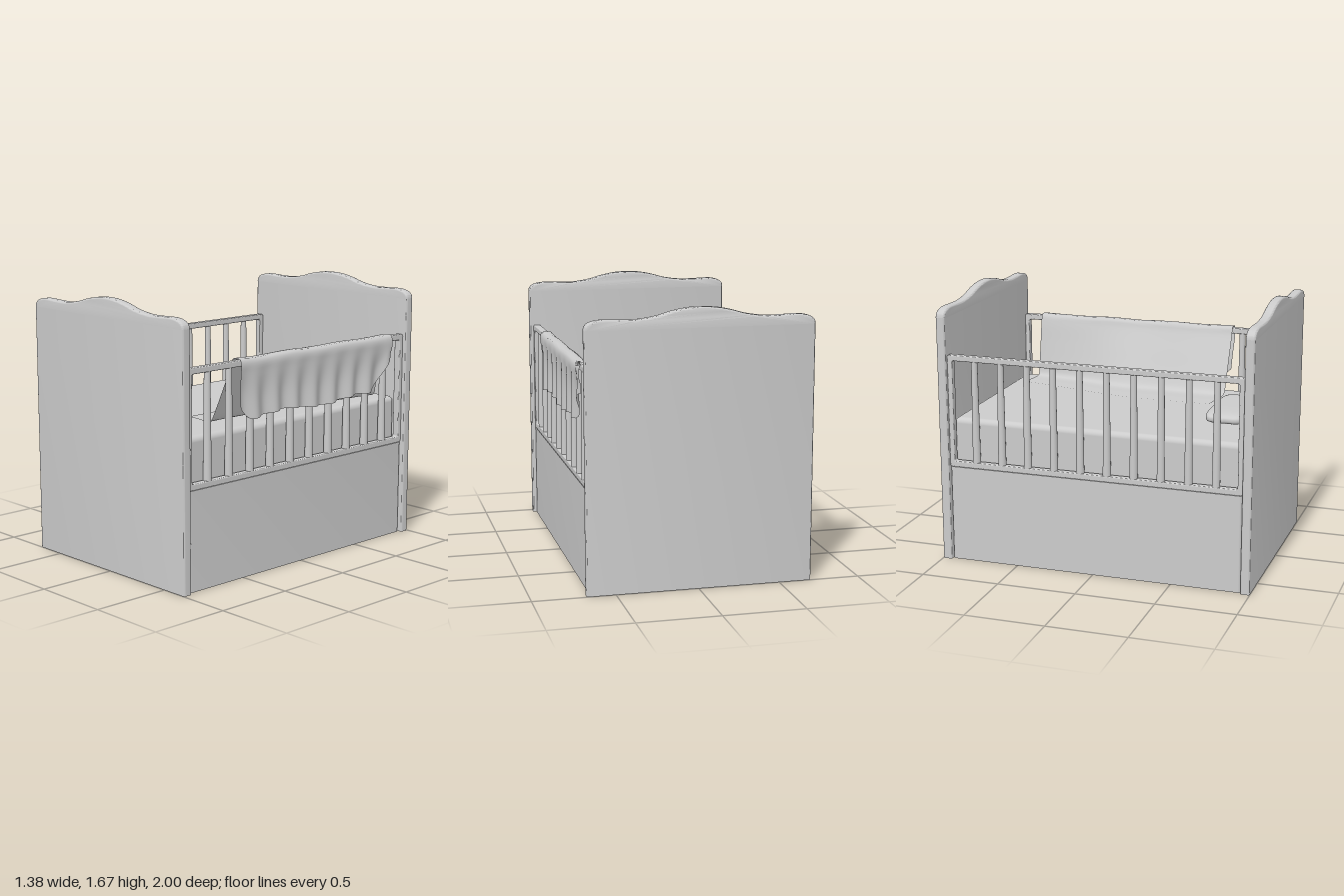
import * as THREE from 'three';
import { RoundedBoxGeometry } from 'three/addons/geometries/RoundedBoxGeometry.js';
import { toCreasedNormals } from 'three/addons/utils/BufferGeometryUtils.js';

const mat = new THREE.MeshStandardMaterial({ color: 0xcccccc });
const clothMat = new THREE.MeshStandardMaterial({ color: 0xcccccc, side: THREE.DoubleSide });
const MID = -0.0125; // centre of the cot across x

function add(parent, name, geometry, x = 0, y = 0, z = 0, material = mat) {
  const mesh = new THREE.Mesh(geometry, material);
  mesh.name = name;
  mesh.position.set(x, y, z);
  parent.add(mesh);
  return mesh;
}

function roundedRect(path, x0, y0, x1, y1, r) {
  path.moveTo(x0 + r, y0);
  path.lineTo(x1 - r, y0);
  path.quadraticCurveTo(x1, y0, x1, y0 + r);
  path.lineTo(x1, y1 - r);
  path.quadraticCurveTo(x1, y1, x1 - r, y1);
  path.lineTo(x0 + r, y1);
  path.quadraticCurveTo(x0, y1, x0, y1 - r);
  path.lineTo(x0, y0 + r);
  path.quadraticCurveTo(x0, y0, x0 + r, y0);
  return path;
}

// Upright board from the floor: softly rounded vertical edges, sharp top and bottom
function boardGeometry(width, height, depth, radius) {
  const plan = roundedRect(new THREE.Shape(), -width / 2, -depth / 2, width / 2, depth / 2, radius);
  const g = new THREE.ExtrudeGeometry(plan, { depth: height, bevelEnabled: false, curveSegments: 5 });
  return toCreasedNormals(g.rotateX(-Math.PI / 2), 0.8);
}

// Wavy moulding on top of an end panel
function capGeometry() {
  const half = [[0.687, 1.56], [0.68, 1.583], [0.652, 1.604], [0.59, 1.616], [0.48, 1.613],
    [0.38, 1.613], [0.27, 1.628], [0.17, 1.655], [0.08, 1.671]];
  const pts = [...half, [0, 1.675], ...half.map(([x, y]) => [-x, y]).reverse()]
    .map(([x, y]) => new THREE.Vector2(x, y));
  const shape = new THREE.Shape();
  shape.moveTo(pts[0].x, pts[0].y);
  shape.splineThru(pts.slice(1));
  shape.closePath();
  const bevel = 0.012;
  const g = new THREE.ExtrudeGeometry(shape, {
    depth: 0.06 - 2 * bevel, curveSegments: 60,
    bevelThickness: bevel, bevelSize: bevel, bevelOffset: -bevel, bevelSegments: 4,
  });
  return toCreasedNormals(g.translate(0, 0, bevel - 0.03), 0.8);
}

function endBoard(name, z) {
  const group = new THREE.Group();
  group.name = name;
  add(group, 'endPanel', boardGeometry(1.373, 1.562, 0.058, 0.012), MID, 0, z);
  add(group, 'wavyCap', capGeometry(), MID, 0, z);
  return group;
}

// Slatted frame above a solid lower panel
function side(name, x) {
  const group = new THREE.Group();
  group.name = name;
  const shape = roundedRect(new THREE.Shape(), -0.94, 0.611, 0.94, 1.327, 0.015);
  shape.holes.push(roundedRect(new THREE.Path(), -0.908, 0.648, 0.908, 1.291, 0.012));
  const b = 0.006;
  const frame = new THREE.ExtrudeGeometry(shape, {
    depth: 0.045 - 2 * b, bevelThickness: b, bevelSize: b, bevelOffset: -b, bevelSegments: 3,
  });
  frame.translate(0, 0, b - 0.0225).rotateY(Math.PI / 2);
  add(group, 'slatFrame', frame, x);
  const slat = new THREE.CylinderGeometry(0.019, 0.025, 0.65, 16);
  for (let i = 0; i < 10; i++) add(group, 'slat', slat, x, 0.97, 0.772 - i * 0.171);
  add(group, 'lowerPanel', boardGeometry(0.045, 0.611, 1.876, 0.02), x);
  return group;
}

// Soft cushion: rounded plan, thinning towards the edges
function pillowGeometry() {
  const g = new THREE.SphereGeometry(1, 48, 32);
  const p = g.attributes.position;
  const soft = (v, e) => Math.sign(v) * Math.abs(v) ** e;
  for (let i = 0; i < p.count; i++) {
    const y = p.getY(i);
    const a = Math.atan2(p.getZ(i), p.getX(i));
    const r = Math.sqrt(Math.max(0, 1 - y * y)) ** 0.5;
    p.setXYZ(i, soft(Math.cos(a), 0.4) * r * 0.278, soft(y, 0.75) * 0.04, soft(Math.sin(a), 0.4) * r * 0.133);
  }
  g.computeVertexNormals();
  return g;
}

// Cloth laid over the +x rail: outer hem, over the rail, down to the mattress, flat flap
function blanketGeometry() {
  const nz = 110, ns = 60;
  const g = new THREE.PlaneGeometry(1, 1, ns, nz);
  const p = g.attributes.position;
  const smooth = THREE.MathUtils.smoothstep;
  for (let j = 0; j <= nz; j++) {
    const z = THREE.MathUtils.lerp(-0.81, 0.54, j / nz);
    // folds bulge over the slats and sink between them
    const fold = Math.cos((z - 0.772) * 2 * Math.PI / 0.171);
    const hem = 0.978 + 0.012 * Math.sin(z * 9) + 0.2 * (1 - smooth(z, -0.81, -0.63)) + 0.08 * smooth(z, 0.46, 0.56);
    const foot = 0.41 + 0.115 * (1 - smooth(z, -0.85, -0.05)) + 0.006 * Math.sin(z * 11);
    const flap = 0.17 + 0.18 * (1 - smooth(z, -0.95, 0.1));
    const top = 1.336 + 0.002 * Math.sin(z * 14);
    const section = [
      [0.66 + 0.018 * fold, hem],
      [0.661 + 0.013 * fold, hem + (1.3 - hem) * 0.4],
      [0.669 + 0.003 * fold, 1.25],
      [0.671, 1.305], [0.66, top - 0.004], [0.63, top], [0.6, top - 0.003],
      [0.585, 1.29],
      [0.585 + (foot - 0.585) * 0.37, 1.15],
      [0.585 + (foot - 0.585) * 0.72, 1.02],
      [foot, 0.931], [foot - 0.03, 0.921],
      [(foot + flap) / 2 - 0.02, 0.919], [flap, 0.917],
    ];
    const curve = new THREE.CatmullRomCurve3(section.map(([x, y]) => new THREE.Vector3(x, y, z)));
    for (let i = 0; i <= ns; i++) {
      const v = curve.getPointAt(i / ns);
      // the outer drop gathers towards its middle; the flap lies slightly askew
      const drop = v.x > 0.63 ? Math.max(0, 1.25 - v.y) : 0;
      const skew = 0.17 * Math.max(0, foot - v.x);
      p.setXYZ(j * (ns + 1) + i, v.x, v.y, v.z - (z + 0.13) * drop * 0.12 - skew);
    }
  }
  g.computeVertexNormals();
  return g;
}

export function createModel() {
  const model = new THREE.Group();
  model.name = 'cot';
  model.add(endBoard('frontBoard', 0.97), endBoard('backBoard', -0.97));
  model.add(side('leftSide', 0.628), side('rightSide', -0.658));
  add(model, 'mattress', new RoundedBoxGeometry(1.214, 0.3, 1.863, 4, 0.035), MID, 0.762, -0.003);
  add(model, 'pillow', pillowGeometry(), -0.013, 0.95, 0.712);
  add(model, 'blanket', blanketGeometry(), 0, 0, 0, clothMat);
  return model;
}
